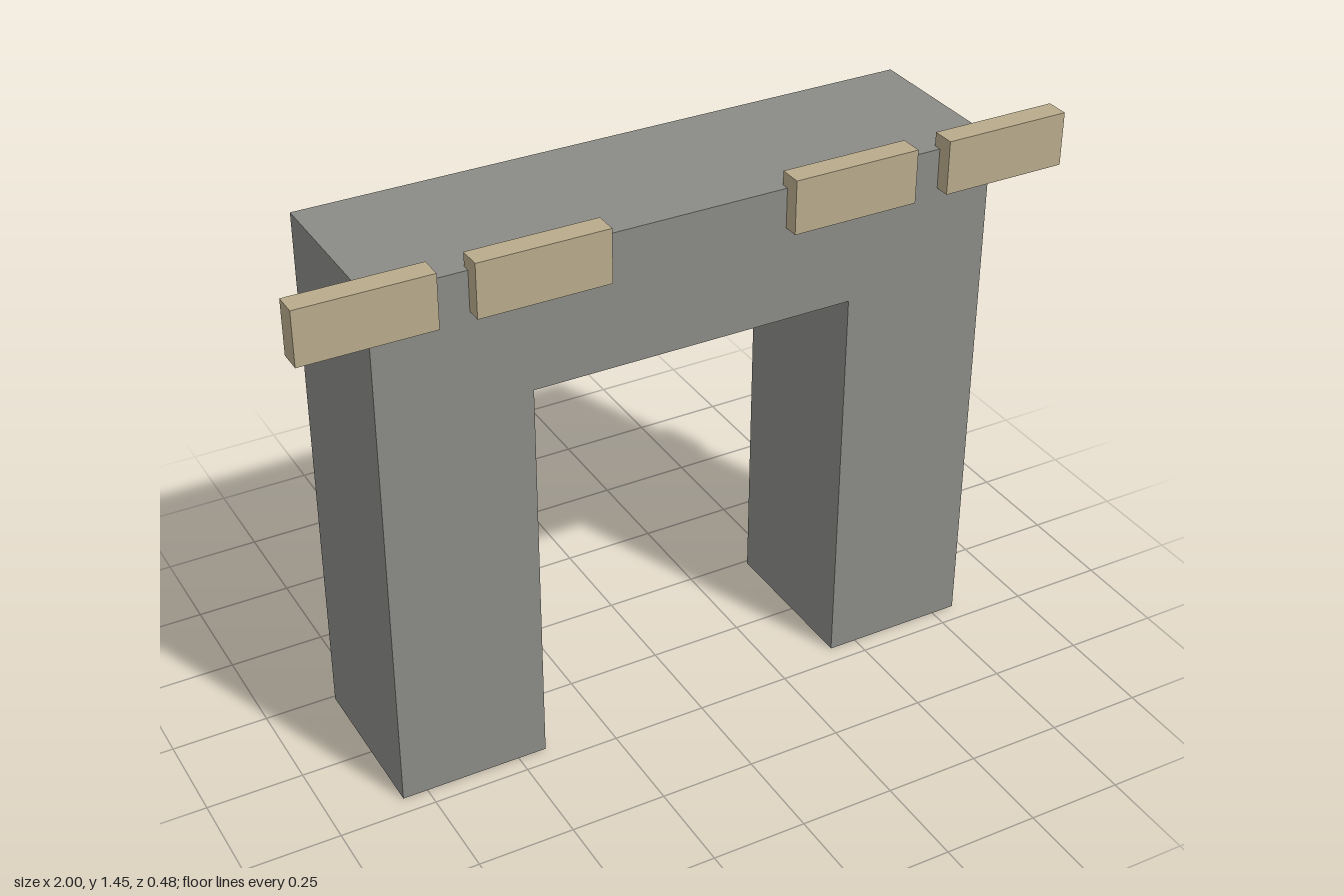
import * as THREE from 'three';

export function createModel() {
  const model = new THREE.Group();
  const stone = new THREE.MeshStandardMaterial({ color: 0x8a8b86 });
  const wood = new THREE.MeshStandardMaterial({ color: 0xb9ab8c });

  // Gateway: two square pillars and a lintel as one solid outline
  const outer = 0.815, inner = 0.425, top = 1.417, soffit = 1.065;
  const outline = new THREE.Shape([
    [-outer, 0], [-inner, 0], [-inner, soffit], [inner, soffit],
    [inner, 0], [outer, 0], [outer, top], [-outer, top],
  ].map(([x, y]) => new THREE.Vector2(x, y)));
  const gateway = new THREE.Mesh(
    new THREE.ExtrudeGeometry(outline, { depth: 0.44, bevelEnabled: false }), stone);
  gateway.position.z = -0.24;
  gateway.name = 'gateway';
  model.add(gateway);

  // Sign boards: two mirrored pairs along the top of the front face
  const boardGeometry = new THREE.BoxGeometry(0.335, 0.14, 0.06);
  for (const [side, sign] of [['left', 1], ['right', -1]]) {
    for (const [place, x] of [['Inner', 0.407], ['Outer', 0.8325]]) {
      const board = new THREE.Mesh(boardGeometry, wood);
      board.position.set(sign * x, 1.383, 0.21);
      board.name = `${side}${place}Board`;
      model.add(board);
    }
  }
  return model;
}
